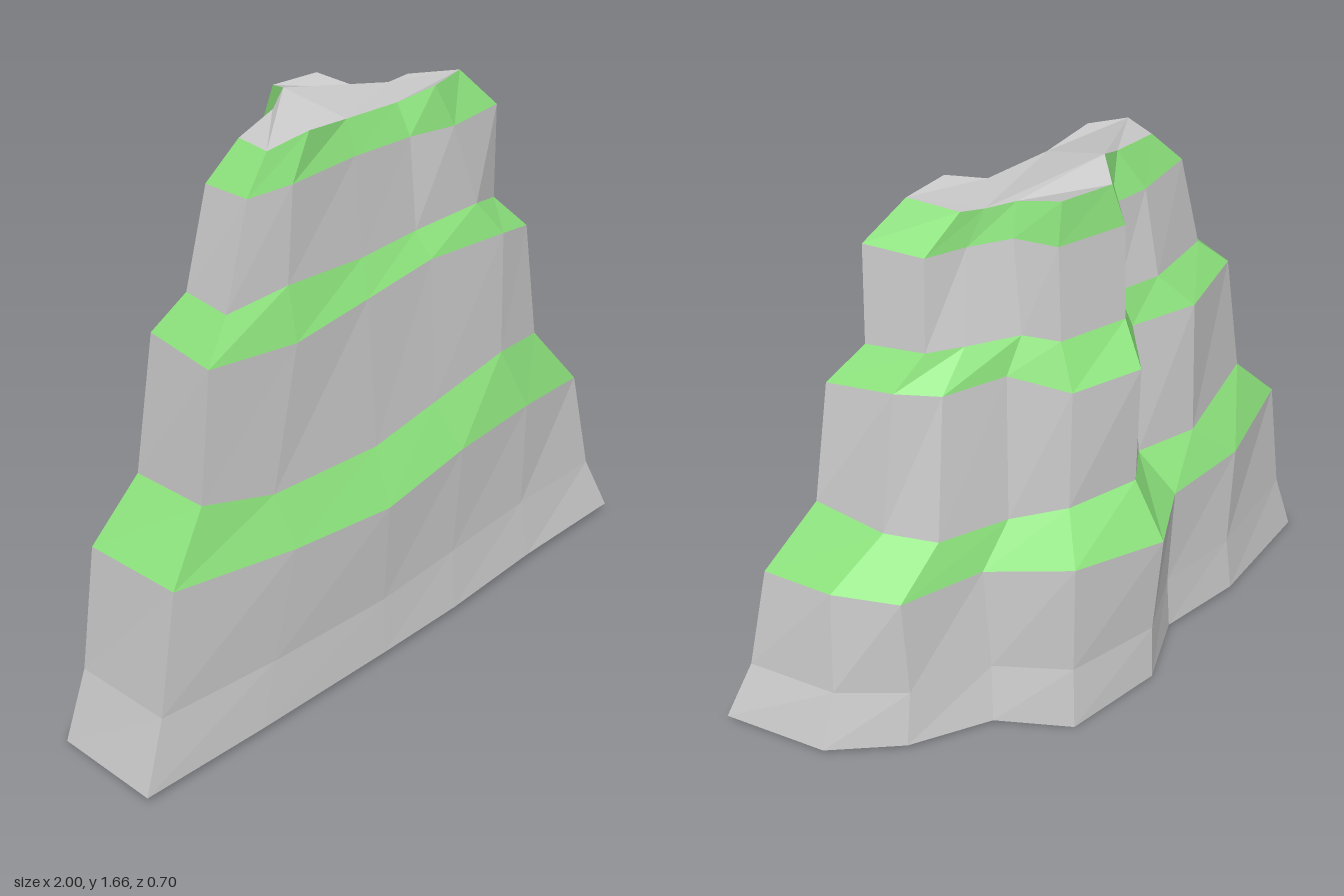
import * as THREE from 'three';

// Cross-section of 14 corners: six along the front (-x to +x), then round the back.
const section = (xs, ys, zs) => xs.map((x, i) => new THREE.Vector3(x, ys[i], zs[i]));

const base = section(
  [-1, -0.6, -0.11, 0.2, 0.57, 1, 0.86, 0.66, 0.4, 0.22, -0.09, -0.28, -0.56, -0.98],
  [0.03, 0.03, 0.03, 0.03, 0.04, 0.03, 0.03, 0.03, 0.02, 0, 0.02, 0.03, 0.03, 0],
  [0.31, 0.33, 0.345, 0.35, 0.345, 0.34, 0.04, -0.1, -0.17, -0.33, -0.33, -0.2, -0.19, -0.05]);
const lowLedge = section(
  [-0.86, -0.46, -0.11, 0.22, 0.55, 0.85, 0.78, 0.65, 0.39, 0.22, -0.09, -0.27, -0.55, -0.86],
  [0.6, 0.555, 0.53, 0.575, 0.58, 0.545, 0.57, 0.56, 0.56, 0.6, 0.56, 0.56, 0.57, 0.59],
  [0.29, 0.33, 0.35, 0.34, 0.32, 0.28, 0.05, -0.1, -0.13, -0.33, -0.355, -0.21, -0.18, -0.03]);
const lowLedgeTop = section(
  [-0.71, -0.47, -0.08, 0.17, 0.48, 0.69, 0.6, 0.5, 0.28, 0.15, -0.08, -0.2, -0.4, -0.7],
  [0.765, 0.7, 0.685, 0.72, 0.77, 0.745, 0.7, 0.69, 0.68, 0.72, 0.72, 0.7, 0.7, 0.75],
  [0.24, 0.26, 0.27, 0.265, 0.265, 0.23, 0.04, -0.08, -0.11, -0.22, -0.24, -0.12, -0.14, -0.02]);
const midLedge = section(
  [-0.67, -0.38, -0.1, 0.17, 0.48, 0.63, 0.55, 0.45, 0.26, 0.14, -0.07, -0.18, -0.38, -0.63],
  [1.14, 1.115, 1.14, 1.165, 1.15, 1.12, 1.15, 1.14, 1.14, 1.1, 1.11, 1.13, 1.14, 1.14],
  [0.24, 0.26, 0.25, 0.24, 0.25, 0.22, 0.02, -0.06, -0.09, -0.22, -0.26, -0.1, -0.14, -0.02]);
const midLedgeTop = section(
  [-0.56, -0.36, -0.07, 0.16, 0.4, 0.53, 0.45, 0.35, 0.2, 0.13, -0.08, -0.15, -0.29, -0.53],
  [1.235, 1.255, 1.235, 1.24, 1.255, 1.225, 1.24, 1.24, 1.24, 1.23, 1.23, 1.24, 1.24, 1.23],
  [0.19, 0.21, 0.2, 0.19, 0.21, 0.17, 0.01, -0.03, -0.08, -0.16, -0.18, -0.07, -0.08, 0.01]);
const topLedge = section(
  [-0.47, -0.33, -0.08, 0.15, 0.3, 0.51, 0.43, 0.31, 0.19, 0.13, -0.08, -0.13, -0.26, -0.46],
  [1.515, 1.52, 1.52, 1.51, 1.51, 1.515, 1.51, 1.51, 1.51, 1.51, 1.51, 1.51, 1.51, 1.51],
  [0.18, 0.2, 0.18, 0.17, 0.2, 0.18, 0.02, 0, -0.04, -0.15, -0.17, -0.06, -0.05, 0.02]);
const summit = section(
  [-0.38, -0.24, -0.07, 0.14, 0.25, 0.4, 0.32, 0.25, 0.16, 0.11, -0.05, -0.11, -0.19, -0.36],
  [1.61, 1.63, 1.61, 1.6, 1.63, 1.63, 1.61, 1.6, 1.6, 1.63, 1.63, 1.66, 1.63, 1.61],
  [0.16, 0.17, 0.14, 0.13, 0.17, 0.13, 0.01, 0, -0.02, -0.14, -0.15, -0.05, -0.01, 0.04]);

// Pinched section just above the flared foot
const foot = base.map((p, i) => {
  const q = p.clone().lerp(lowLedge[i], 0.36);
  return q.set(q.x * 0.97, q.y, q.z * 0.96);
});

function facets(points, material, name) {
  const geometry = new THREE.BufferGeometry().setFromPoints(points);
  geometry.computeVertexNormals();
  const mesh = new THREE.Mesh(geometry, material);
  mesh.name = name;
  return mesh;
}

// Wall joining one section to the next
function band(lower, upper, material, name) {
  const points = [];
  lower.forEach((a, i) => {
    const j = (i + 1) % lower.length;
    points.push(a, lower[j], upper[j], a, upper[j], upper[i]);
  });
  return facets(points, material, name);
}

// Closing face over a section
function cap(ring, up, material, name) {
  const outline = ring.map(p => new THREE.Vector2(p.x, -p.z));
  const points = THREE.ShapeUtils.triangulateShape(outline, [])
    .flatMap(([a, b, c]) => (up ? [a, b, c] : [a, c, b]).map(k => ring[k]));
  return facets(points, material, name);
}

export function createModel() {
  const rock = new THREE.MeshStandardMaterial({ color: 0xcccccc, flatShading: true });
  const grass = new THREE.MeshStandardMaterial({ color: 0x8ce27c, flatShading: true });
  const model = new THREE.Group();
  model.name = 'terracedCliff';

  // Rock tiers alternating with sloping grass ledges
  [
    [base, foot, rock, 'rockFoot'],
    [foot, lowLedge, rock, 'lowerRock'],
    [lowLedge, lowLedgeTop, grass, 'lowerGrassLedge'],
    [lowLedgeTop, midLedge, rock, 'middleRock'],
    [midLedge, midLedgeTop, grass, 'middleGrassLedge'],
    [midLedgeTop, topLedge, rock, 'upperRock'],
    [topLedge, summit, grass, 'upperGrassLedge'],
  ].forEach(tier => model.add(band(...tier)));

  // Bare summit and underside
  model.add(cap(summit, true, rock, 'summit'), cap(base, false, rock, 'underside'));
  return model;
}
